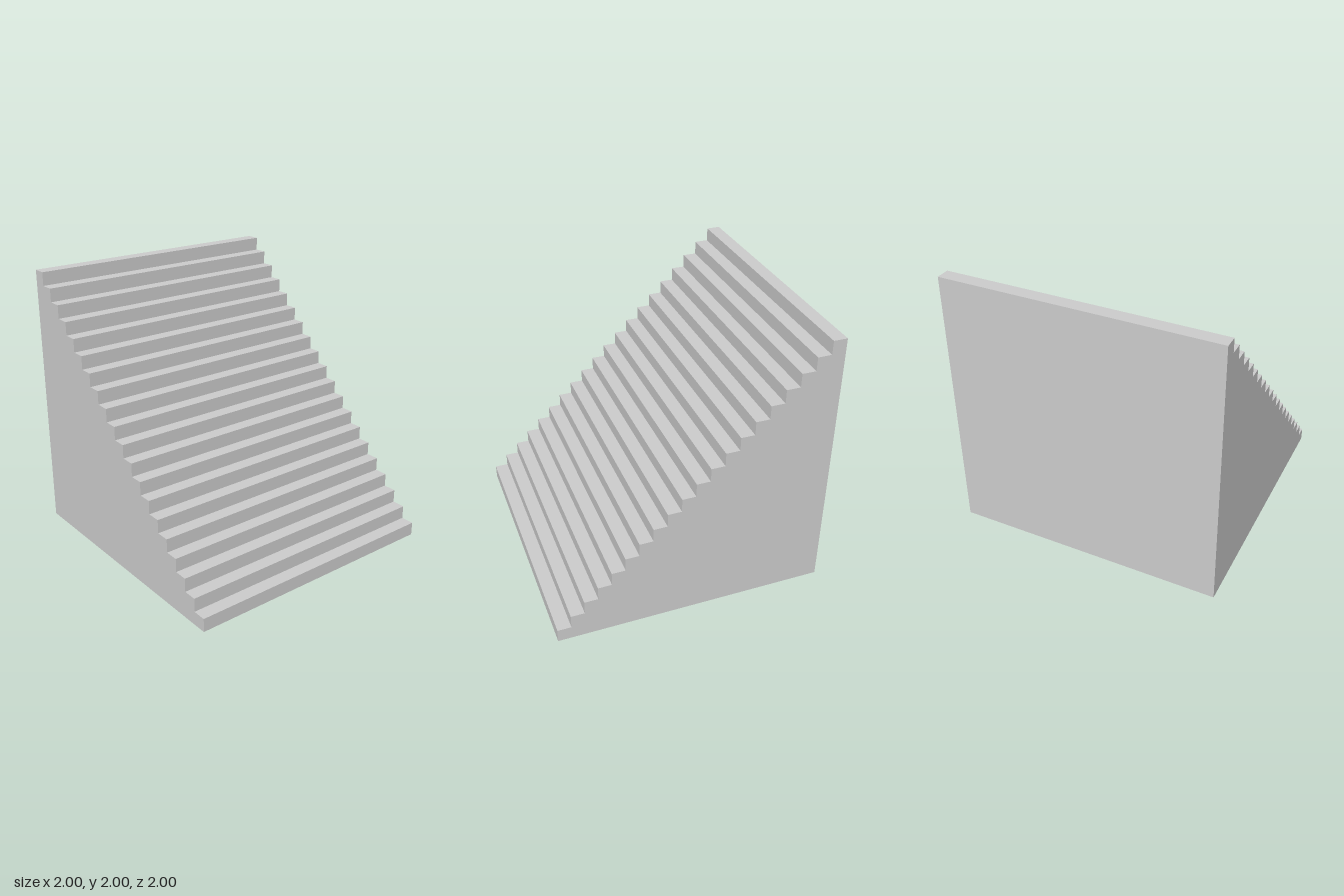
import * as THREE from 'three';

const STEPS = 20;
const SIZE = 2;

export function createModel() {
  const group = new THREE.Group();
  group.name = 'staircase';

  // Stepped side profile, rising from front to back
  const step = SIZE / STEPS;
  const profile = new THREE.Shape();
  profile.moveTo(-SIZE / 2, 0);
  for (let i = 0; i < STEPS; i++) {
    const front = -SIZE / 2 + i * step;
    const height = (i + 1) * step;
    profile.lineTo(front, height); // riser
    profile.lineTo(front + step, height); // tread
  }
  profile.lineTo(SIZE / 2, 0);
  profile.closePath();

  // Solid flight of steps, extruded across the width and turned to face +z
  const geometry = new THREE.ExtrudeGeometry(profile, { depth: SIZE, bevelEnabled: false });
  geometry.translate(0, 0, -SIZE / 2);
  geometry.rotateY(Math.PI / 2);

  const steps = new THREE.Mesh(
    geometry,
    new THREE.MeshStandardMaterial({ color: 0xcccccc, flatShading: true })
  );
  steps.name = 'steps';
  group.add(steps);

  return group;
}
